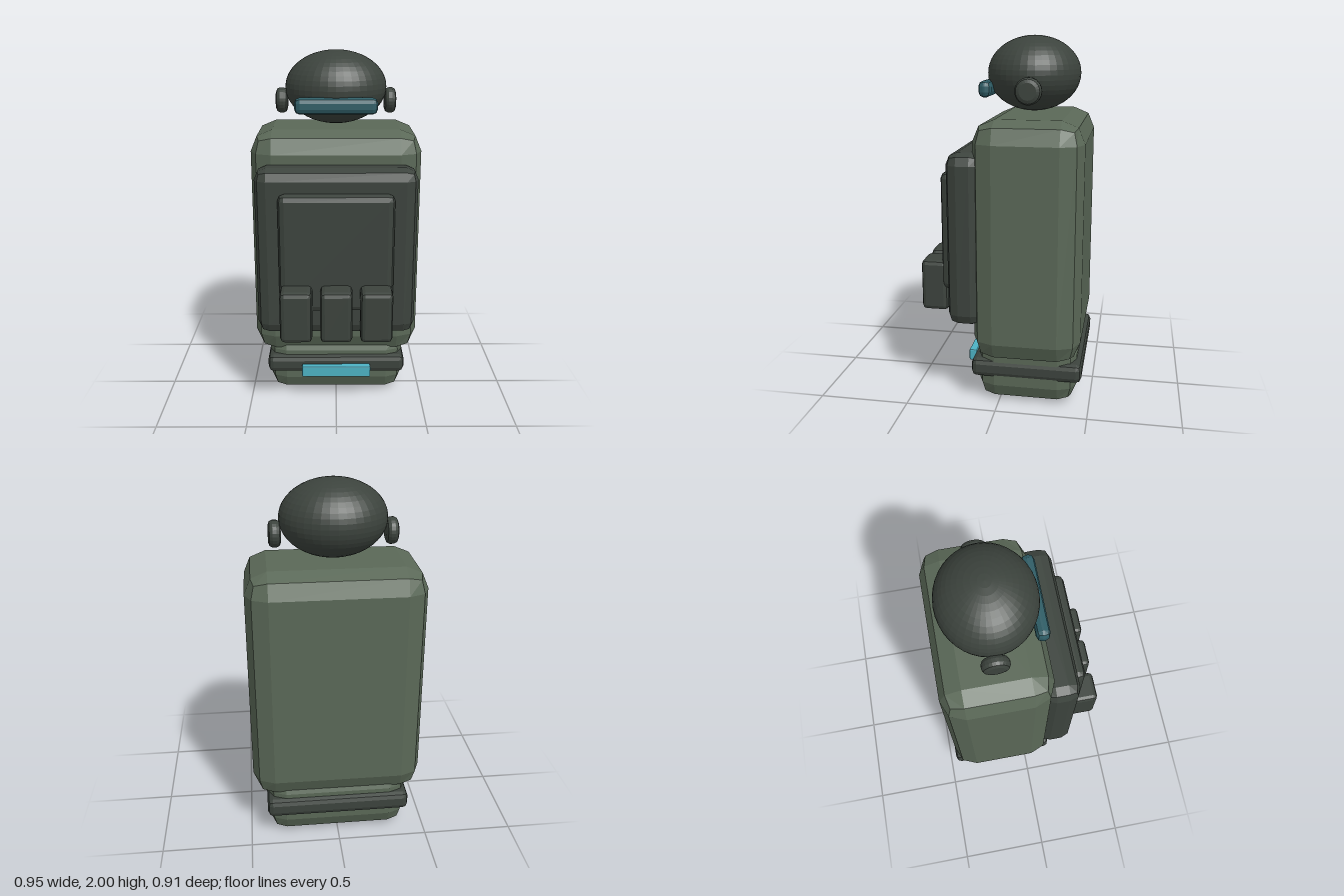
import * as THREE from 'three';
import { RoundedBoxGeometry } from 'three/addons/geometries/RoundedBoxGeometry.js';

function material(name, color) {
  const m = new THREE.MeshStandardMaterial({ color, flatShading: true });
  m.name = name;
  return m;
}

export function createModel() {
  const model = new THREE.Group();
  model.name = 'armouredFigure';

  const olive = material('olive green', 0x5a6857);
  const dark = material('dark grey green', 0x3c433d);
  const teal = material('dark teal', 0x2f5d66);
  const cyan = material('bright cyan', 0x4cb2c4);

  const add = (name, geometry, mat) => {
    const mesh = new THREE.Mesh(geometry, mat);
    mesh.name = name;
    model.add(mesh);
    return mesh;
  };

  // Two-step bevelled box given by its extents
  const block = (name, [x0, x1], [y0, y1], [z0, z1], r, mat) =>
    add(name, new RoundedBoxGeometry(x1 - x0, y1 - y0, z1 - z0, 1, r), mat)
      .position.set((x0 + x1) / 2, (y0 + y1) / 2, (z0 + z1) / 2);

  // Body
  block('torso', [-0.475, 0.475], [0.26, 1.58], [-0.447, 0.142], 0.12, olive);
  block('hips', [-0.395, 0.395], [0.005, 0.38], [-0.425, 0.125], 0.1, olive);

  // Belt and buckle
  block('belt', [-0.402, 0.402], [0.15, 0.255], [-0.457, 0.155], 0.03, dark);
  block('buckle', [-0.2, 0.2], [0.15, 0.217], [0.165, 0.21], 0.008, cyan);

  // Chest armour
  block('chestPlate', [-0.442, 0.442], [0.455, 1.408], [0.08, 0.28], 0.065, dark);
  block('chestPanel', [-0.313, 0.313], [0.62, 1.283], [0.255, 0.336], 0.035, dark);
  for (const x of [-0.218, 0, 0.217]) {
    block('pouch', [x - 0.087, x + 0.087], [0.49, 0.78], [0.305, 0.456], 0.025, dark);
  }

  // Helmet and visor
  const helmet = add('helmet', new THREE.SphereGeometry(1, 40, 24), dark);
  helmet.scale.set(0.284, 0.203, 0.255);
  helmet.position.set(0, 1.797, -0.135);
  block('visor', [-0.225, 0.225], [1.675, 1.765], [0.07, 0.14], 0.03, teal);

  // Ear discs with bevelled rims
  const profile = [[0, -0.033], [0.045, -0.033], [0.063, -0.026], [0.071, -0.01],
    [0.071, 0.01], [0.063, 0.026], [0.045, 0.033], [0, 0.033]]
    .map(([r, y]) => new THREE.Vector2(r, y));
  const earGeometry = new THREE.LatheGeometry(profile, 24).rotateZ(Math.PI / 2);
  for (const side of [-1, 1]) {
    const ear = add(side > 0 ? 'leftEarDisc' : 'rightEarDisc', earGeometry, dark);
    ear.position.set(side * 0.306, 1.72, -0.145);
  }

  return model;
}
